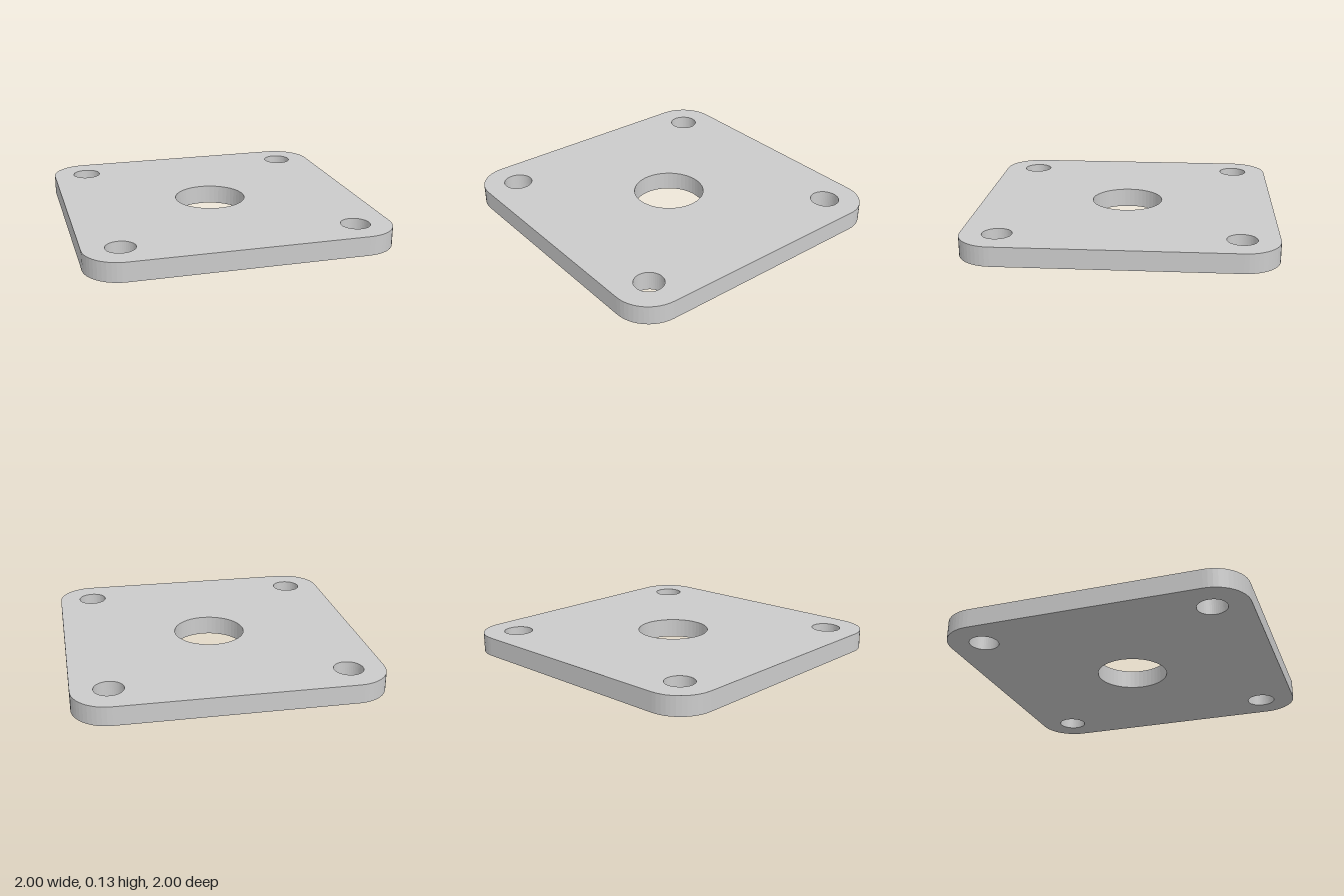
import * as THREE from 'three';

const HALF = 1;          // half the side of the square plate
const THICKNESS = 0.127;
const CORNER = 0.238;    // corner radius; the bolt holes share its centres
const BOLT_RADIUS = 0.096;
const BORE_RADIUS = 0.24;

// Points along an arc, counter-clockwise from angle a0 through sweep
function arc(cx, cy, r, a0, sweep, segments) {
  return Array.from({ length: segments + 1 }, (_, i) => {
    const a = a0 + (sweep * i) / segments;
    return new THREE.Vector2(cx + r * Math.cos(a), cy + r * Math.sin(a));
  });
}

function circle(cx, cy, r, segments = 48) {
  return new THREE.Path(arc(cx, cy, r, 0, Math.PI * 2, segments).slice(0, -1)).closePath();
}

export function createModel() {
  const group = new THREE.Group();
  group.name = 'mountingPlate';

  // Rounded outline and bolt holes, one of each per corner
  const c = HALF - CORNER;
  const corners = [[c, c], [-c, c], [-c, -c], [c, -c]];
  const outline = corners.flatMap(([x, y], i) => arc(x, y, CORNER, (i * Math.PI) / 2, Math.PI / 2, 12));
  const shape = new THREE.Shape(outline);
  shape.closePath();
  for (const [x, y] of corners) shape.holes.push(circle(x, y, BOLT_RADIUS));

  // Central bore
  shape.holes.push(circle(0, 0, BORE_RADIUS));

  // Plate laid flat on the ground
  const geometry = new THREE.ExtrudeGeometry(shape, { depth: THICKNESS, bevelEnabled: false });
  geometry.rotateX(-Math.PI / 2);
  const plate = new THREE.Mesh(
    geometry,
    new THREE.MeshStandardMaterial({ color: 0xcccccc, flatShading: true })
  );
  plate.name = 'plate';
  group.add(plate);
  return group;
}
